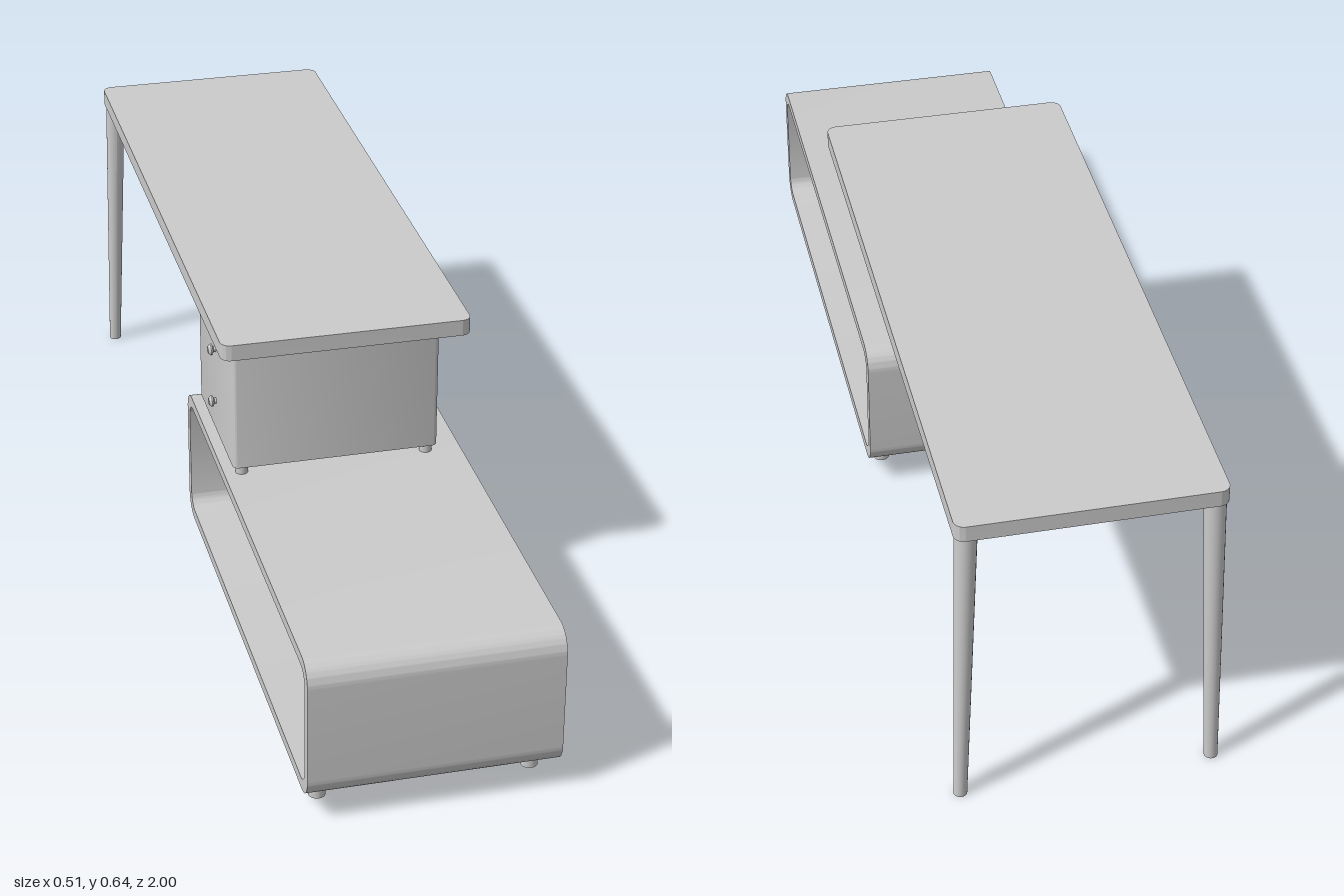
import * as THREE from 'three';
import { toCreasedNormals } from 'three/addons/utils/BufferGeometryUtils.js';

const material = new THREE.MeshStandardMaterial({ color: 0xcccccc });

// Traces a rounded rectangle, centred on the origin, on a Shape or Path
function roundedRect(path, w, h, r) {
  const x = w / 2, y = h / 2;
  path.moveTo(-x + r, -y);
  path.lineTo(x - r, -y);
  path.absarc(x - r, -y + r, r, -Math.PI / 2, 0, false);
  path.lineTo(x, y - r);
  path.absarc(x - r, y - r, r, 0, Math.PI / 2, false);
  path.lineTo(-x + r, y);
  path.absarc(-x + r, y - r, r, Math.PI / 2, Math.PI, false);
  path.lineTo(-x, -y + r);
  path.absarc(-x + r, -y + r, r, Math.PI, Math.PI * 1.5, false);
  return path;
}

// Extrusion centred on its own depth, smooth round the corners
function extrude(shape, depth) {
  const geometry = new THREE.ExtrudeGeometry(shape, { depth, bevelEnabled: false, curveSegments: 10 });
  geometry.translate(0, 0, -depth / 2);
  return toCreasedNormals(geometry, 0.6);
}

export function createModel() {
  const model = new THREE.Group();
  const add = (name, geometry, x, y, z) => {
    const mesh = new THREE.Mesh(geometry, material);
    mesh.name = name;
    mesh.position.set(x, y, z);
    model.add(mesh);
    return mesh;
  };

  // Upright slab with rounded vertical edges
  const slab = (w, h, d, r) =>
    extrude(roundedRect(new THREE.Shape(), w, d, r), h).rotateX(-Math.PI / 2);

  // Desk top
  add('deskTop', slab(0.498, 0.033, 1.32, 0.02), 0, 0.6265, -0.33);

  // Drawer cabinet carrying the front of the desk top
  add('drawerCabinet', slab(0.415, 0.251, 0.325, 0.012), -0.0175, 0.4855, 0.148);

  // Open-sided bench: a rounded tube running through along x
  const W = 1.073, H = 0.289, T = 0.022;
  const ring = roundedRect(new THREE.Shape(), W, H, 0.045);
  ring.holes.push(roundedRect(new THREE.Path(), W - 2 * T, H - 2 * T, 0.032));
  add('bench', extrude(ring, 0.482).rotateY(Math.PI / 2), 0, 0.1975, 0.4635);

  // Short feet under the bench and under the cabinet
  const benchFoot = new THREE.CylinderGeometry(0.0165, 0.0165, 0.046, 24);
  const cabinetFoot = new THREE.CylinderGeometry(0.0125, 0.0125, 0.022, 24);
  for (const x of [-0.204, 0.204])
    for (const z of [0.012, 0.918]) add('benchFoot', benchFoot, x, 0.033, z);
  for (const x of [-0.205, 0.17])
    for (const z of [0.004, 0.292]) add('cabinetFoot', cabinetFoot, x, 0.351, z);

  // Tapered, splayed back legs: sheared so both ends stay level
  for (const side of [-1, 1]) {
    const h = 0.612, top = [0.225, -0.966], foot = [0.241, -0.987];
    const leg = new THREE.CylinderGeometry(0.021, 0.013, h, 24);
    leg.translate(0, h / 2, 0);
    leg.applyMatrix4(new THREE.Matrix4().makeShear(
      0, 0, (side * (top[0] - foot[0])) / h, (top[1] - foot[1]) / h, 0, 0));
    leg.computeVertexNormals();
    add('backLeg', leg, side * foot[0], 0, foot[1]);
  }

  // Drawer knobs on the right side of the cabinet
  const profile = [[0, -0.001], [0.006, -0.001], [0.006, 0.004], [0.0115, 0.007], [0.0115, 0.01], [0.007, 0.015], [0, 0.016]]
    .map(([r, y]) => new THREE.Vector2(r, y));
  const knob = toCreasedNormals(new THREE.LatheGeometry(profile, 16), 0.5).rotateZ(Math.PI / 2);
  for (const y of [0.427, 0.543]) add('drawerKnob', knob, -0.225, y, 0.148);

  return model;
}
